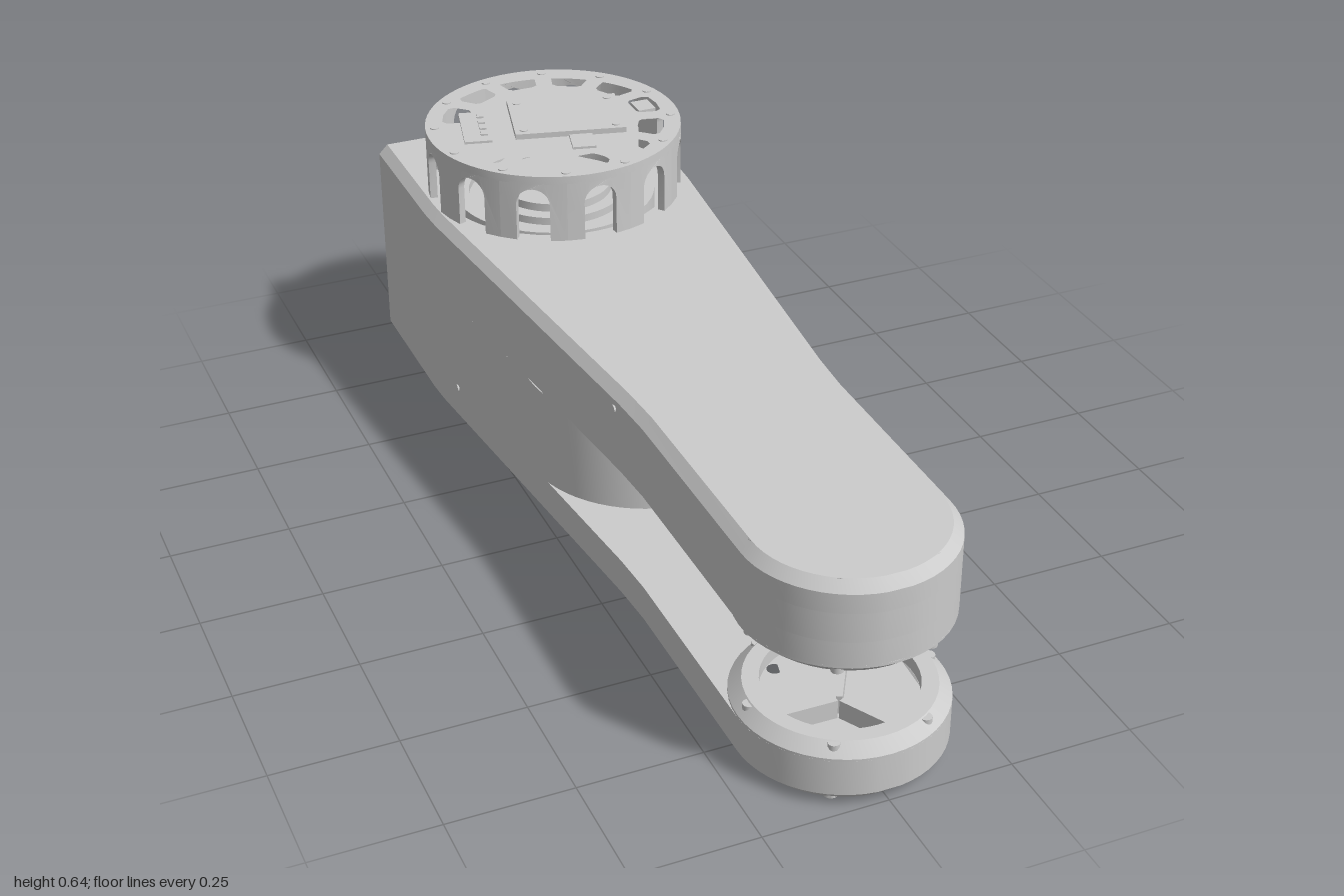
import * as THREE from 'three';
import { toCreasedNormals } from 'three/addons/utils/BufferGeometryUtils.js';

const grey = new THREE.MeshStandardMaterial({ color: 0xcccccc });
const greyDouble = new THREE.MeshStandardMaterial({ color: 0xcccccc, side: THREE.DoubleSide });
const JOINT_Z = 0.795, MOTOR_Z = -0.635, BACK_Z = -0.97;

export function createModel() {
  const root = new THREE.Group();

  const add = (name, geo, parent = root, mat = grey) => {
    const mesh = new THREE.Mesh(geo, mat);
    mesh.name = name;
    parent.add(mesh);
    return mesh;
  };

  // Plan points are [x, z]; slabs are extruded upwards from y0 to y1.
  const toV2 = (pts) => pts.map(([x, z]) => new THREE.Vector2(x, -z));
  const circle = (x, z, r, n = 16) => Array.from({ length: n }, (_, i) => {
    const a = (i / n) * Math.PI * 2;
    return [x + r * Math.cos(a), z + r * Math.sin(a)];
  });
  const slab = (pts, y0, y1, holes = []) => {
    const shape = new THREE.Shape(toV2(pts));
    holes.forEach((h) => shape.holes.push(new THREE.Path(toV2(h))));
    const geo = new THREE.ExtrudeGeometry(shape, { depth: y1 - y0, bevelEnabled: false });
    geo.rotateX(-Math.PI / 2).translate(0, y0, 0);
    return toCreasedNormals(geo, 0.5);
  };
  const mirrored = (half) => [...half, ...half.slice().reverse().map(([x, z]) => [-x, z])];

  // Tapered arm outline with a round front end
  const outline = (inset = 0) => {
    const half = [[0.3, BACK_Z], [0.3, -0.64], [0.297, -0.58], [0.212, 0.26], [0.206, 0.36]]
      .map(([x, z]) => [x - inset, z]);
    for (let i = 0; i < 14; i++) {
      const a = ((i / 14) * Math.PI) / 2;
      half.push([(0.205 - inset) * Math.cos(a), JOINT_Z + (0.205 - inset) * Math.sin(a)]);
    }
    return mirrored(half);
  };

  // Sloping strip between two outlines, open at the back edge's flat end
  const chamfer = (a, ya, b, yb) => {
    const pos = [];
    a.forEach((p, i) => {
      const j = (i + 1) % a.length;
      const A = [p[0], ya, p[1]], B = [a[j][0], ya, a[j][1]];
      const C = [b[j][0], yb, b[j][1]], D = [b[i][0], yb, b[i][1]];
      pos.push(...A, ...C, ...B, ...A, ...D, ...C);
    });
    const geo = new THREE.BufferGeometry();
    geo.setAttribute('position', new THREE.Float32BufferAttribute(pos, 3));
    return toCreasedNormals(geo, 0.5);
  };

  // Screw recesses
  const pair = ([x, z, r = 0.015]) => [circle(x, z, r), circle(-x, z, r)];
  const shared = [[0.088, 0.942], [0.172, 0.79], [0.168, 0.39], [0.197, 0.02], [0.04, 0.605], [0.027, 0.1, 0.008]];
  const topScrews = [...shared, [0.262, -0.9], [0.165, -0.94]].flatMap(pair);
  const bottomScrews = [...shared, [0.225, -0.26], [0.245, -0.45], [0.258, -0.63], [0.258, -0.9], [0.1, -0.93]].flatMap(pair);

  // Housing
  const full = outline(), jointHole = circle(0, JOINT_Z, 0.148, 40);
  const motorHole = circle(0, MOTOR_Z, 0.25, 48);
  const body = new THREE.Group();
  body.name = 'housing';
  root.add(body);
  add('bottomPlate', slab(outline(0.025), 0, 0.025, bottomScrews), body);
  add('bottomChamfer', chamfer(full, 0.025, outline(0.025), 0), body, greyDouble);
  add('lowerArm', slab(full, 0.025, 0.1, [jointHole]), body);
  add('upperArmUnderside', slab(full, 0.31, 0.36, [jointHole]), body);
  add('upperArm', slab(full, 0.36, 0.42), body);
  add('upperArmTop', slab(full, 0.42, 0.46, [motorHole]), body);
  add('topPlate', slab(outline(0.02), 0.46, 0.48, [motorHole, ...topScrews]), body);
  add('topChamfer', chamfer(full, 0.46, outline(0.02), 0.48), body, greyDouble);

  // Rear block between the arms, with a rounded nose
  const rear = [[0.3, BACK_Z], [0.3, -0.64], [0.297, -0.58], [0.2525, -0.14]];
  for (let i = 0; i < 16; i++) {
    const a = ((i / 16) * Math.PI) / 2;
    rear.push([0.2525 * Math.cos(a), -0.125 + 0.255 * Math.sin(a)]);
  }
  add('rearBlock', slab(mirrored(rear), 0.1, 0.31), body);

  // Chamfered joint rings facing each other across the gap
  const ringProfile = [[0.148, 0], [0.205, 0], [0.205, 0.005], [0.18, 0.028], [0.148, 0.028], [0.148, 0]]
    .map(([r, y]) => new THREE.Vector2(r, y));
  const ringGeo = toCreasedNormals(new THREE.LatheGeometry(ringProfile, 48), 0.4);
  const makeRing = (name, y, flip) => {
    const g = new THREE.Group();
    g.name = name;
    g.position.set(0, y, JOINT_Z);
    if (flip) g.rotation.z = Math.PI;
    root.add(g);
    add('jointRing', ringGeo, g, greyDouble);
    for (let i = 0; i < 6; i++) {
      const a = ((i + 0.5) * Math.PI) / 3;
      add('ringScrew', new THREE.CylinderGeometry(0.012, 0.012, 0.02, 12), g)
        .position.set(0.183 * Math.sin(a), 0.016, 0.183 * Math.cos(a));
    }
    // Stiffening ribs inside the hollow
    for (const a of [0.5, 2.6, 4.7]) {
      const rib = add('rib', new THREE.BoxGeometry(0.012, 0.04, 0.14), g);
      rib.position.set(0.075 * Math.sin(a), -0.04, 0.075 * Math.cos(a));
      rib.rotation.y = a;
    }
  };
  makeRing('lowerJoint', 0.1, false);
  makeRing('upperJoint', 0.31, true);

  // Motor discs sunk into the top
  const motor = [[0, 0.475], [0.03, 0.475], [0.03, 0.49], [0.125, 0.49], [0.125, 0.472], [0.155, 0.472],
    [0.155, 0.455], [0.19, 0.455], [0.19, 0.47], [0.22, 0.47], [0.22, 0.42]]
    .map(([r, y]) => new THREE.Vector2(r, y));
  add('motorDiscs', toCreasedNormals(new THREE.LatheGeometry(motor, 48), 0.4), root, greyDouble).position.z = MOTOR_Z;

  // Slotted cage: one arch, bent round the motor axis and repeated
  const cage = new THREE.Group();
  cage.name = 'motorCage';
  cage.position.z = MOTOR_Z;
  root.add(cage);
  const R = 0.278, L = (R * Math.PI) / 12, S = 0.036;
  const arch = [[-L, 0.48]];
  for (let i = 0; i <= 6; i++) arch.push([-L + (i / 6) * 2 * L, 0.615]);
  arch.push([L, 0.48], [S, 0.48]);
  for (let i = 0; i <= 12; i++) {
    const a = (i / 12) * Math.PI;
    arch.push([S * Math.cos(a), 0.564 + S * Math.sin(a)]);
  }
  arch.push([-S, 0.48]);
  const archGeo = new THREE.ExtrudeGeometry(new THREE.Shape(arch.map((p) => new THREE.Vector2(...p))),
    { depth: 0.016, bevelEnabled: false });
  const p = archGeo.attributes.position;
  for (let i = 0; i < p.count; i++) {
    const a = p.getX(i) / R, r = R - 0.016 + p.getZ(i);
    p.setXYZ(i, r * Math.sin(a), p.getY(i), r * Math.cos(a));
  }
  const bent = toCreasedNormals(archGeo, 0.5);
  for (let i = 0; i < 12; i++) add('cageArch', bent, cage).rotation.y = (i * Math.PI) / 6;

  // Cage lid with a ring of windows
  const windows = [];
  for (let i = 0; i < 12; i++) {
    if (i === 6) continue;
    const c = (i * Math.PI) / 6;
    windows.push([[0.187, -0.12], [0.195, -0.17], [0.23, -0.18], [0.241, -0.14], [0.243, 0],
      [0.241, 0.14], [0.23, 0.18], [0.195, 0.17], [0.187, 0.12]]
      .map(([r, t]) => [r * Math.cos(c + t), r * Math.sin(c + t)]));
  }
  add('cageLid', slab(circle(0, 0, R, 72), 0.612, 0.63, windows), cage);
  for (let i = 0; i < 12; i++) {
    const a = ((i + 0.5) * Math.PI) / 6;
    add('lidScrew', new THREE.CylinderGeometry(0.01, 0.01, 0.004, 12), cage)
      .position.set(0.258 * Math.cos(a), 0.63, 0.258 * Math.sin(a));
  }

  // Cover plate and connectors on the lid
  const cover = new THREE.Group();
  cover.name = 'lidCover';
  cover.position.set(0.03, 0.63, 0);
  cover.rotation.y = -0.24;
  cage.add(cover);
  const box = (name, w, h, d, x, y, z) => add(name, new THREE.BoxGeometry(w, h, d), cover).position.set(x, y, z);
  box('coverPlate', 0.24, 0.012, 0.18, 0, 0.006, 0);
  box('connector', 0.05, 0.006, 0.065, 0.02, 0.002, 0.125);
  box('sideStrip', 0.06, 0.006, 0.15, -0.2, 0.002, 0.02);
  for (let i = 0; i < 4; i++) box('pin', 0.015, 0.006, 0.018, -0.185, 0.006, -0.03 + i * 0.03);
  for (const x of [-0.1, 0.1]) for (const z of [-0.07, 0.07]) {
    add('coverScrew', new THREE.CylinderGeometry(0.009, 0.009, 0.004, 12), cover).position.set(x, 0.012, z);
  }
  add('socket', new THREE.BoxGeometry(0.04, 0.02, 0.05), cage).position.set(0.212, 0.62, 0);

  // Round mounting flange on the back
  const flange = new THREE.Group();
  flange.name = 'backFlange';
  flange.position.set(0, 0.24, BACK_Z);
  flange.rotation.x = -Math.PI / 2;
  root.add(flange);
  const foot = [[0.155, 0], [0.142, 0.003], [0.135, 0.008], [0.132, 0.014], [0, 0.014]].map((q) => new THREE.Vector2(...q));
  add('flangeFoot', toCreasedNormals(new THREE.LatheGeometry(foot, 48), 0.6), flange, greyDouble);
  const bolts = [circle(0, 0, 0.036, 24)];
  for (let i = 0; i < 8; i++) {
    const a = ((i + 0.5) * Math.PI) / 4;
    bolts.push(circle(0.1 * Math.cos(a), 0.1 * Math.sin(a), 0.012, 12));
    if (i % 2) bolts.push(circle(0.068 * Math.cos(a + 0.4), 0.068 * Math.sin(a + 0.4), 0.009, 12));
  }
  add('flangeDisc', slab(circle(0, 0, 0.131, 48), 0.012, 0.03, bolts), flange);

  // Small screws on the side walls
  for (const s of [-1, 1]) for (const [x, y, z] of [[0.213, 0.44, 0.24], [0.288, 0.095, -0.5]]) {
    const screw = add('sideScrew', new THREE.CylinderGeometry(0.008, 0.008, 0.008, 12));
    screw.position.set(s * x, y, z);
    screw.rotation.z = Math.PI / 2;
  }
  return root;
}
